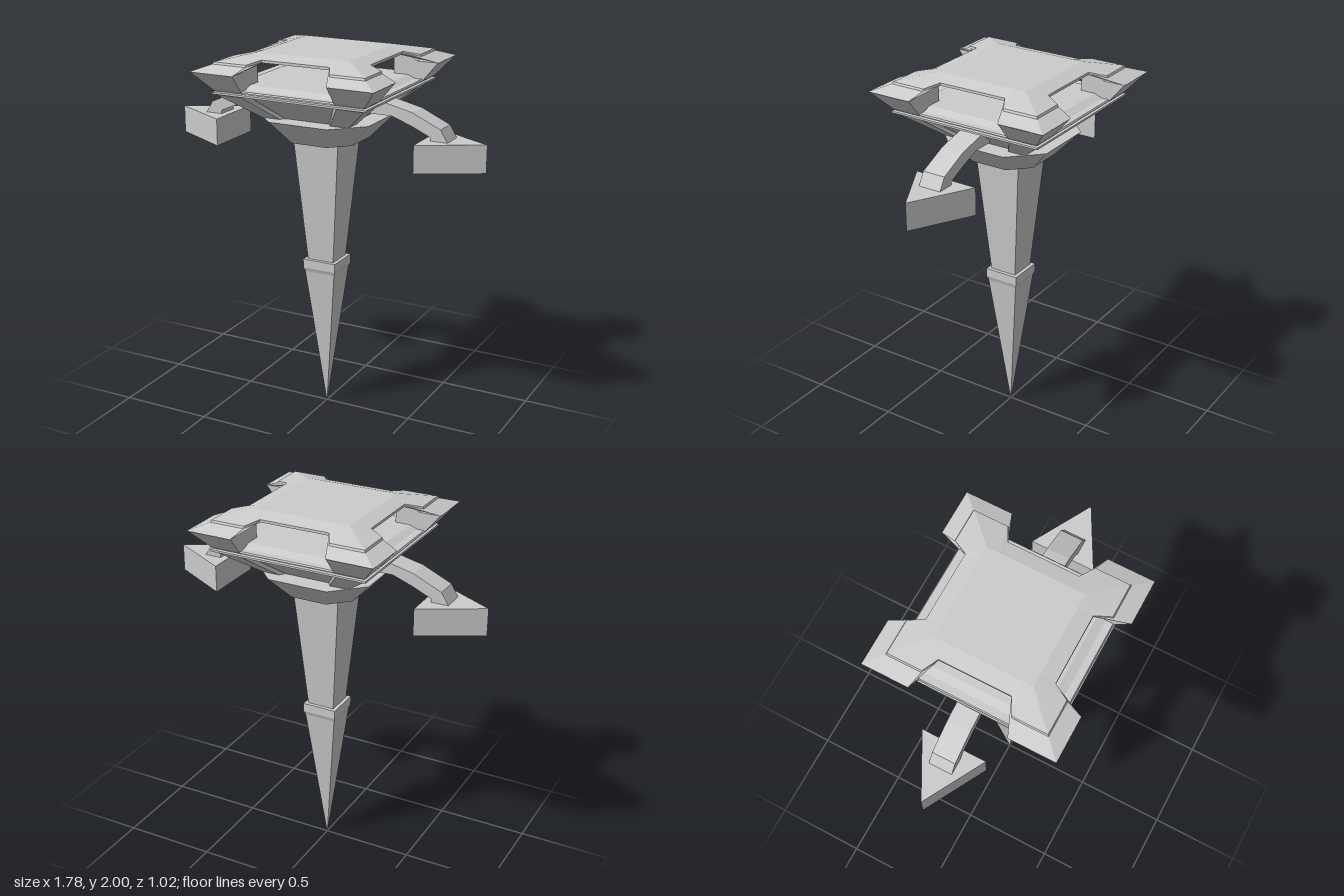
import * as THREE from 'three';

const material = new THREE.MeshStandardMaterial({ color: 0xcccccc, flatShading: true });

function add(parent, name, geometry) {
  const mesh = new THREE.Mesh(geometry, material);
  mesh.name = name;
  parent.add(mesh);
  return mesh;
}

// Skins a stack of rings, listed bottom to top, and closes both ends.
function loft(rings) {
  const pos = [];
  const n = rings[0].length;
  const tri = (a, b, c) => pos.push(...a, ...b, ...c);
  for (let r = 0; r + 1 < rings.length; r++) {
    const lo = rings[r], hi = rings[r + 1];
    for (let i = 0; i < n; i++) {
      const j = (i + 1) % n;
      tri(lo[i], hi[i], hi[j]);
      tri(lo[i], hi[j], lo[j]);
    }
  }
  const cap = (ring, up) => {
    const flat = ring.map(p => new THREE.Vector2(p[0], p[2]));
    for (const [a, b, c] of THREE.ShapeUtils.triangulateShape(flat, [])) {
      if (up) tri(ring[a], ring[c], ring[b]);
      else tri(ring[a], ring[b], ring[c]);
    }
  };
  cap(rings[0], false);
  cap(rings[rings.length - 1], true);
  const geometry = new THREE.BufferGeometry();
  geometry.setAttribute('position', new THREE.Float32BufferAttribute(pos, 3));
  geometry.computeVertexNormals();
  return geometry;
}

// Repeats the points of one side ([x, z, y]) around the four sides.
function fourSides(points) {
  const ring = [];
  for (let k = 0; k < 4; k++) {
    for (let [x, z, y] of points) {
      for (let t = 0; t < k; t++) [x, z] = [-z, x];
      ring.push([x, y, z]);
    }
  }
  return ring;
}

const square = (h, y) => fourSides([[h, h, y]]);
const octagon = (h, f, y) => fourSides([[h, -f, y], [h, f, y]]);

// Square with the middle of each side set back: corner c, notch mouth a, notch floor at m with half-width b.
const notched = (c, a, m, b, y, ym = y) =>
  fourSides([[c, -a, y], [m, -b, ym], [m, b, ym], [c, a, y], [c, c, y]]);

export function createModel() {
  const model = new THREE.Group();
  model.name = 'spikedPlatform';

  // Spike, its ring and the tapered shaft
  add(model, 'spike', loft([square(0.001, 0), square(0.088, 0.8)]));
  add(model, 'spikeRing', loft([
    square(0.085, 0.785), square(0.092, 0.805), square(0.095, 0.812), square(0.095, 0.86),
  ]));
  add(model, 'shaft', loft([square(0.075, 0.855), square(0.13, 1.535)]));

  // Eight-sided collar
  add(model, 'collar', loft([octagon(0.2, 0.1, 1.53), octagon(0.32, 0.165, 1.66)]));

  // Bowl with corner ribs and recessed panels
  add(model, 'bowl', loft([
    notched(0.24, 0.14, 0.21, 0.12, 1.655),
    notched(0.42, 0.27, 0.39, 0.24, 1.8),
  ]));

  // Grooved rim and raised deck
  add(model, 'rim', loft([
    square(0.43, 1.8), square(0.43, 1.81), square(0.415, 1.813),
    square(0.415, 1.818), square(0.425, 1.82), square(0.42, 1.828),
  ]));
  add(model, 'deck', loft([square(0.39, 1.825), square(0.34, 1.845)]));

  // Flared pillars, one at each corner
  for (let k = 0; k < 4; k++) {
    const level = (c, y) => [[0.26, y, 0.26], [c, y, 0.26], [c, y, c], [0.26, y, c]];
    const pillar = add(model, 'cornerPillar', loft([level(0.42, 1.815), level(0.508, 1.921)]));
    pillar.rotation.y = k * Math.PI / 2;
    const neck = add(model, 'pillarHead', loft([level(0.4, 1.915), level(0.32, 1.968)]));
    neck.rotation.y = k * Math.PI / 2;
  }

  // Canopy with stepped corner horns
  add(model, 'canopy', loft([
    notched(0.26, 0.2, 0.26, 0.19, 1.965),
    notched(0.51, 0.26, 0.34, 0.19, 1.92, 1.965),
    notched(0.425, 0.235, 0.34, 0.19, 1.952, 1.972),
    notched(0.42, 0.234, 0.34, 0.19, 1.963, 1.979),
    notched(0.26, 0.2, 0.26, 0.19, 2.0),
  ]));

  // Arched arms carrying wedge-shaped pods
  const armOutline = [
    [0.28, 1.7], [0.4, 1.7], [0.51, 1.66], [0.61, 1.615], [0.61, 1.595], [0.705, 1.595],
    [0.665, 1.66], [0.51, 1.73], [0.38, 1.76], [0.28, 1.78],
  ].map(p => new THREE.Vector2(...p));
  const armGeometry = new THREE.ExtrudeGeometry(new THREE.Shape(armOutline), { depth: 0.124, bevelEnabled: false });
  armGeometry.translate(0, 0, -0.062);
  const podLevel = y => [[0.57, y, -0.175], [0.89, y, 0], [0.57, y, 0.175]];
  const podGeometry = loft([podLevel(1.45), podLevel(1.597)]);
  for (const [side, turn] of [['left', 0], ['right', Math.PI]]) {
    const group = new THREE.Group();
    group.name = side + 'Outrigger';
    group.rotation.y = turn;
    add(group, side + 'Arm', armGeometry);
    add(group, side + 'Pod', podGeometry);
    model.add(group);
  }

  return model;
}
